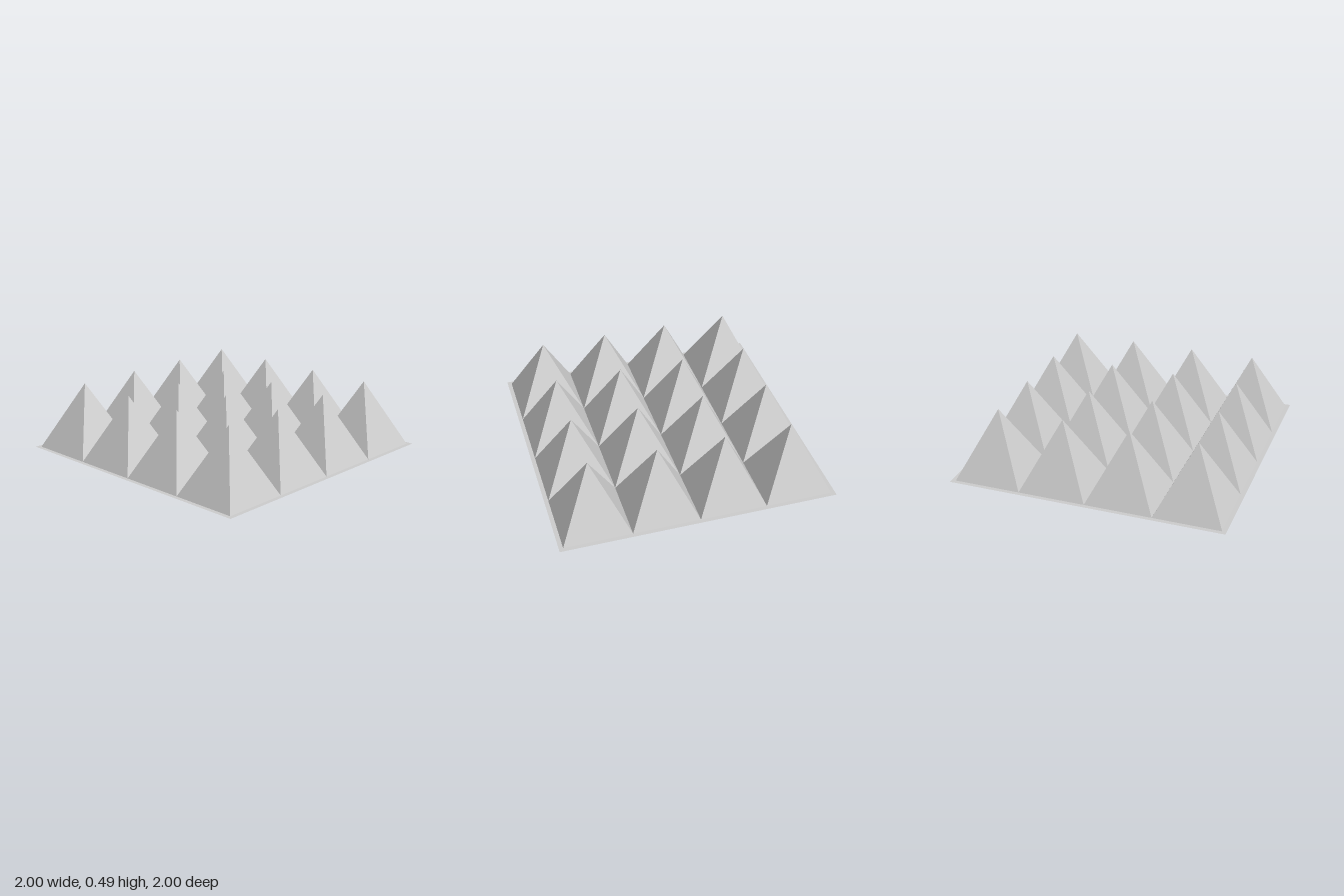
import * as THREE from 'three';

const COUNT = 4;       // pyramids per side
const CELL = 0.485;    // pyramid base width
const HEIGHT = 0.49;

export function createModel() {
  const model = new THREE.Group();
  model.name = 'spikedPanel';
  const material = new THREE.MeshStandardMaterial({ color: 0xcccccc, flatShading: true });

  // Thin backing sheet, seen from both sides
  const sheetMaterial = material.clone();
  sheetMaterial.side = THREE.DoubleSide;
  const sheet = new THREE.Mesh(new THREE.PlaneGeometry(2, 2).rotateX(-Math.PI / 2), sheetMaterial);
  sheet.name = 'baseSheet';
  model.add(sheet);

  // Square pyramid standing on y = 0, sides aligned to the axes
  const pyramid = new THREE.ConeGeometry(CELL / Math.SQRT2, HEIGHT, 4, 1, true)
    .rotateY(Math.PI / 4)
    .translate(0, HEIGHT / 2, 0);

  // Grid of pyramids
  const spikes = new THREE.Group();
  spikes.name = 'pyramids';
  const offset = (COUNT - 1) / 2;
  for (let row = 0; row < COUNT; row++) {
    for (let column = 0; column < COUNT; column++) {
      const spike = new THREE.Mesh(pyramid, material);
      spike.name = `pyramid${row + 1}_${column + 1}`;
      spike.position.set((column - offset) * CELL, 0, (row - offset) * CELL);
      spikes.add(spike);
    }
  }
  model.add(spikes);
  return model;
}
